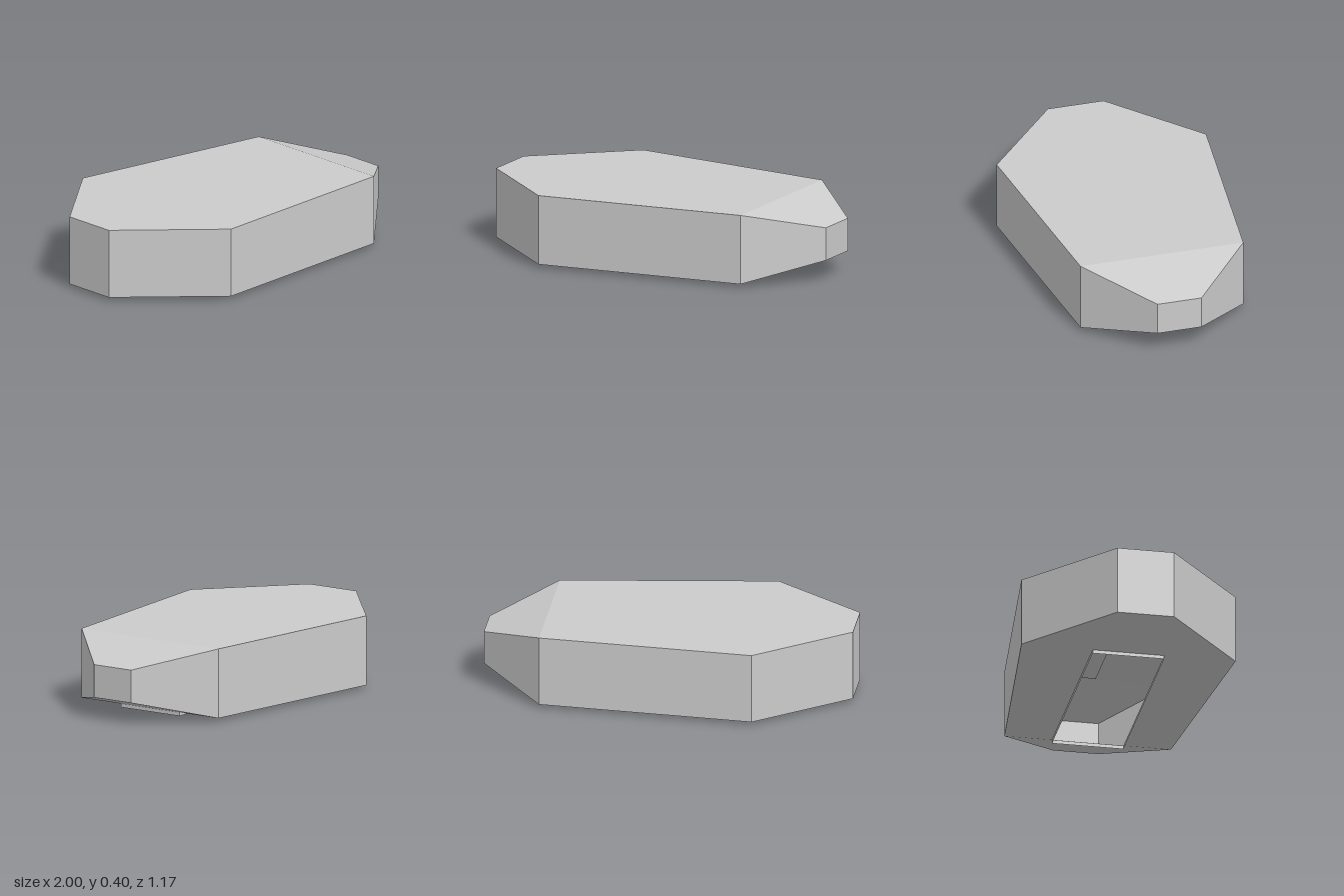
import * as THREE from 'three';

const material = new THREE.MeshStandardMaterial({ color: 0xcccccc, flatShading: true, side: THREE.DoubleSide });
const BOTTOM = 0.02, TOP = 0.4;

// Flat-faced geometry from a list of quads, each four [x, y, z] corners
function quads(list) {
  const pos = list.flatMap(([a, b, c, d]) => [a, b, c, a, c, d]).flat();
  const geo = new THREE.BufferGeometry();
  geo.setAttribute('position', new THREE.Float32BufferAttribute(pos, 3));
  geo.computeVertexNormals();
  return geo;
}

// Upright wall strip along [x, z] points
function wall(points, low, high) {
  return quads(points.slice(1).map((q, i) => {
    const p = points[i];
    return [[q[0], low, q[1]], [p[0], low, p[1]], [p[0], high, p[1]], [q[0], high, q[1]]];
  }));
}

const toShape = pts => new THREE.Shape(pts.map(([x, z]) => new THREE.Vector2(x, z)));

// Four corners of a nose cross-section
const section = (x, low, high, half) =>
  [[x, low, half], [x, low, -half], [x, high, -half], [x, high, half]];

export function createModel() {
  const group = new THREE.Group();
  const add = (name, geo, y = 0) => {
    const mesh = new THREE.Mesh(geo, material);
    mesh.name = name;
    mesh.position.y = y;
    group.add(mesh);
  };

  // Hollow hull: plan outline from the nose joint round the tail and back
  const outline = [[0.66, 0.455], [-0.505, 0.585], [-1, 0.155], [-1, -0.155], [-0.505, -0.585], [0.66, -0.455]];
  const slot = [[0.66, 0.195], [-0.505, 0.195], [-0.505, -0.195], [0.66, -0.195]];
  add('hullWalls', wall(outline, BOTTOM, TOP));
  add('topDeck', new THREE.ShapeGeometry(toShape(outline)).rotateX(-Math.PI / 2), TOP);

  // Underside with its long rectangular opening
  const under = toShape(outline);
  under.holes.push(toShape([...slot].map(([x, z]) => [Math.min(x, 0.659), z]).reverse()));
  add('underside', new THREE.ShapeGeometry(under).rotateX(Math.PI / 2), BOTTOM);

  // Thin skirt around the opening
  add('openingSkirt', wall([...slot, slot[0]], 0, BOTTOM));

  // Tapered nose with a blunt end
  const back = section(0.66, BOTTOM, TOP, 0.455);
  const tip = section(1, 0.12, 0.3, 0.123);
  const sides = back.map((a, i) => {
    const j = (i + 1) % 4;
    return [a, back[j], tip[j], tip[i]];
  });
  add('nose', quads([...sides, tip]));

  // Narrow strip let in flush along the deck's centre line
  const strip = new THREE.BoxGeometry(1.61, 0.006, 0.08).translate(-0.165, 0, 0);
  add('deckStrip', strip, TOP - 0.004);

  return group;
}
